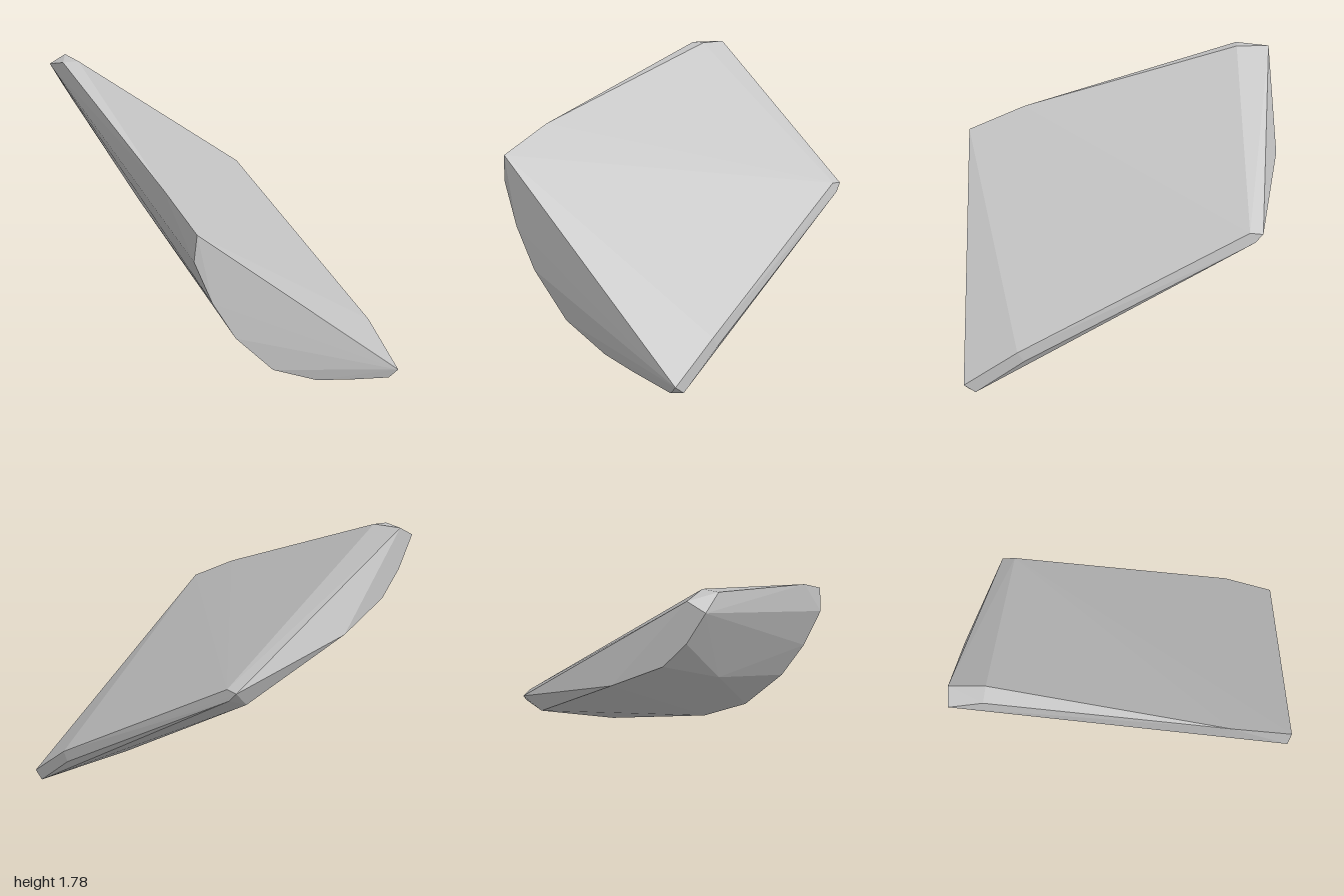
import * as THREE from 'three';
import { ConvexGeometry } from 'three/addons/geometries/ConvexGeometry.js';

export function createModel() {
  const group = new THREE.Group();
  group.name = 'rockShard';
  const stone = new THREE.MeshStandardMaterial({ color: 0xc5c5c5, flatShading: true });
  stone.name = 'pale stone grey';

  // Corners of the broad sloping face
  const slope = [
    [-0.60, 1.78, -0.79], [-0.70, 1.78, -0.80], [0.545, 0.94, -0.74],
    [0.703, 0.26, 0.67], [0.705, 0.05, 1.00], [-0.695, 1.21, 0.98], [-0.71, 1.36, 0.61],
  ];
  // Rounded lower rim of the front face
  const frontRim = [
    [-0.71, 1.05, 0.97], [-0.60, 0.78, 0.98], [-0.45, 0.53, 0.98], [-0.19, 0.26, 0.97],
    [0.12, 0.11, 0.96], [0.35, 0.055, 0.965], [0.65, 0, 0.98], [0.705, 0, 0.93],
  ];
  // Chipped back face and its lower rim
  const backRim = [
    [-0.60, 1.78, -1], [-0.71, 1.73, -1], [-0.60, 1.535, -1], [-0.46, 1.375, -1],
    [-0.14, 1.20, -1], [0.545, 0.93, -0.82], [0.44, 0.84, -0.79],
  ];
  // Narrow bevel along the side edge
  const sideBevel = [[0.703, 0.20, 0.63], [0.555, 0.88, -0.77]];
  // Slight bulge of the underside
  const underside = [[0.50, 0.32, 0.26], [0.42, 0.13, 0.78], [-0.47, 1.00, -0.22]];

  const corners = [...slope, ...frontRim, ...backRim, ...sideBevel, ...underside]
    .map((p) => new THREE.Vector3(...p));
  const rock = new THREE.Mesh(new ConvexGeometry(corners), stone);
  rock.name = 'rock';
  group.add(rock);
  return group;
}
